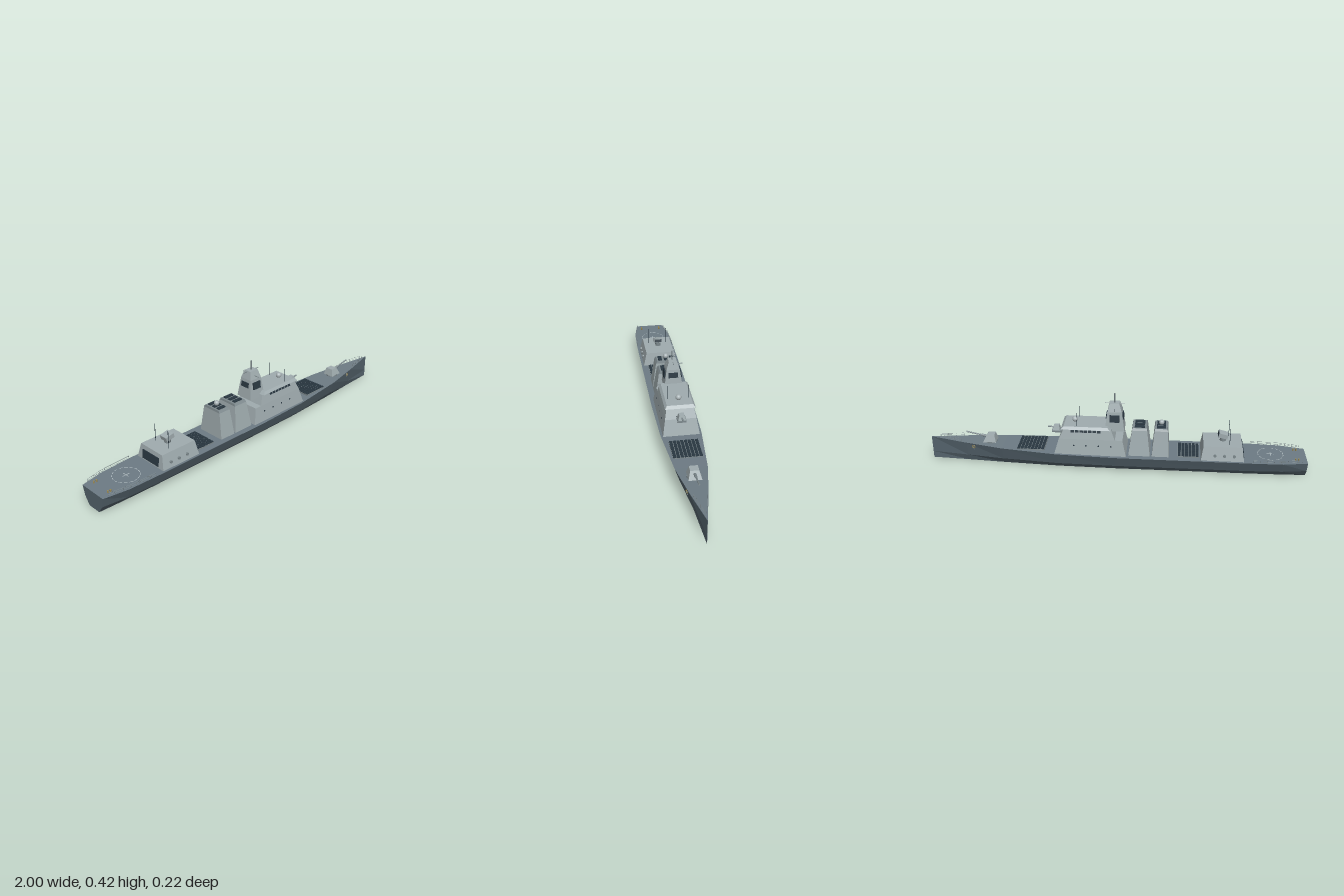
import * as THREE from 'three';

const paint = (color) => new THREE.MeshStandardMaterial({ color, flatShading: true });
const HULL = paint(0x55646d), DECK = paint(0x6d7b84), HOUSE = paint(0x9fabae);
const TRIM = paint(0x7d898d), DARK = paint(0x2a3842), LINE = paint(0xb8c4c8), BRASS = paint(0x9a8a55);
HULL.side = DECK.side = THREE.DoubleSide;

function add(parent, name, geometry, material, x = 0, y = 0, z = 0) {
  const mesh = new THREE.Mesh(geometry, material);
  mesh.name = name;
  mesh.position.set(x, y, z);
  parent.add(mesh);
  return mesh;
}

const box = (parent, name, mat, x, y, z, w, h, d) =>
  add(parent, name, new THREE.BoxGeometry(w, h, d), mat, x, y, z);

// Block with sloping sides: bottom and top are each [xMin, xMax, halfWidth]
function block(parent, name, mat, y0, bottom, y1, top) {
  const g = new THREE.BoxGeometry(1, 1, 1), p = g.attributes.position;
  for (let i = 0; i < p.count; i++) {
    const up = p.getY(i) > 0, e = up ? top : bottom;
    p.setXYZ(i, p.getX(i) > 0 ? e[1] : e[0], up ? y1 : y0, p.getZ(i) > 0 ? e[2] : -e[2]);
  }
  g.computeVertexNormals();
  return add(parent, name, g, mat);
}

// Round bar between two points
function rod(parent, name, mat, a, b, r, sides = 6) {
  const A = new THREE.Vector3(...a), B = new THREE.Vector3(...b), d = B.clone().sub(A);
  const m = add(parent, name, new THREE.CylinderGeometry(r, r, d.length(), sides), mat);
  m.position.copy(A).add(B).multiplyScalar(0.5);
  m.quaternion.setFromUnitVectors(new THREE.Vector3(0, 1, 0), d.normalize());
  return m;
}

function ball(parent, name, x, y, z, r) {
  const m = new THREE.MeshStandardMaterial({ color: 0xaab4b7 });
  return add(parent, name, new THREE.SphereGeometry(r, 16, 12), m, x, y, z);
}

// Hull stations: x, deck half width, deck height, chine half width, chine height, keel half width
const STATIONS = [
  [-1, 0.08, 0.092, 0.066, 0.04, 0.038], [-0.87, 0.104, 0.094, 0.08, 0.038, 0.043],
  [-0.7, 0.11, 0.096, 0.085, 0.037, 0.046], [0, 0.111, 0.098, 0.086, 0.037, 0.047],
  [0.3, 0.104, 0.102, 0.08, 0.037, 0.042], [0.6, 0.078, 0.111, 0.053, 0.037, 0.026],
  [0.8, 0.043, 0.119, 0.026, 0.037, 0.012], [1, 0.0005, 0.127, 0.0005, 0.037, 0.0005],
];
function station(x) {
  let i = 0;
  while (i < STATIONS.length - 2 && STATIONS[i + 1][0] < x) i++;
  const a = STATIONS[i], b = STATIONS[i + 1], t = (x - a[0]) / (b[0] - a[0]);
  return a.map((v, k) => v + (b[k] - v) * t);
}
const deckY = (x) => station(x)[2];

function buildHull(ship) {
  const shell = [], deck = [];
  const quad = (out, a, b, c, d) => out.push(...a, ...b, ...c, ...a, ...c, ...d);
  const ring = ([x, w, y, cw, cy, k]) =>
    [[x, y, w], [x, cy, cw], [x, 0, k], [x, 0, -k], [x, cy, -cw], [x, y, -w]];
  const rings = STATIONS.map(ring);
  for (let i = 0; i < rings.length - 1; i++) {
    const a = rings[i], b = rings[i + 1];
    for (let j = 0; j < 5; j++) quad(shell, a[j], a[j + 1], b[j + 1], b[j]);
    quad(deck, a[0], b[0], b[5], a[5]);
  }
  // transom and stem
  for (const r of [rings[0], [...rings[rings.length - 1]].reverse()]) {
    quad(shell, r[0], r[5], r[4], r[1]);
    quad(shell, r[1], r[4], r[3], r[2]);
  }
  for (const [name, pts, mat] of [['hull', shell, HULL], ['deck', deck, DECK]]) {
    const g = new THREE.BufferGeometry();
    g.setAttribute('position', new THREE.Float32BufferAttribute(pts, 3));
    g.computeVertexNormals();
    add(ship, name, g, mat);
  }
}

// Field of vertical launch hatches
function launchCells(ship, name, x0, x1, nx, nz) {
  const g = new THREE.Group();
  g.name = name;
  ship.add(g);
  const w = (x1 - x0) / nx, d = 0.146 / nz, xm = (x0 + x1) / 2, y = deckY(xm) + 0.002;
  box(g, 'hatchBed', TRIM, xm, y, 0, x1 - x0, 0.008, 0.146);
  for (let i = 0; i < nx; i++) for (let j = 0; j < nz; j++)
    box(g, 'hatch', DARK, x0 + (i + 0.5) * w, y + 0.005, -0.073 + (j + 0.5) * d, w * 0.82, 0.004, d * 0.82);
}

export function createModel() {
  const ship = new THREE.Group();
  ship.name = 'warship';
  buildHull(ship);

  // Main superstructure and bridge
  block(ship, 'mainHouse', HOUSE, 0.094, [-0.06, 0.32, 0.094], 0.184, [-0.04, 0.293, 0.079]);
  block(ship, 'bridge', HOUSE, 0.184, [0, 0.293, 0.079], 0.237, [0.02, 0.268, 0.068]);
  block(ship, 'bridgeRoof', HOUSE, 0.237, [0.025, 0.282, 0.077], 0.25, [0.04, 0.268, 0.066]);
  ball(ship, 'bridgeRadome', 0.215, 0.264, 0, 0.015);
  for (const s of [1, -1]) {
    for (let i = 0; i < 7; i++) {
      const pane = box(ship, 'bridgeWindow', DARK, 0.083 + i * 0.0232, 0.226, s * 0.0705, 0.018, 0.012, 0.003);
      pane.rotation.x = -s * 0.2;
    }
    for (let i = 0; i < 4; i++)
      rod(ship, 'porthole', DARK, [0.02 + i * 0.065, 0.15, s * 0.083], [0.02 + i * 0.065, 0.15, s * 0.087], 0.004, 10);
    rod(ship, 'bridgeWhip', DARK, [0.2, 0.248, s * 0.055], [0.2, 0.324, s * 0.055], 0.0012);
    rod(ship, 'aftWhip', DARK, [-0.595, 0.168, s * 0.05], [-0.595, 0.262, s * 0.05], 0.0015);
  }

  // Radar mast
  block(ship, 'mastBase', HOUSE, 0.222, [-0.048, 0.055, 0.048], 0.325, [-0.033, 0.042, 0.035]);
  block(ship, 'mastTop', HOUSE, 0.325, [-0.033, 0.042, 0.035], 0.367, [-0.02, 0.032, 0.021]);
  for (const s of [1, -1]) {
    box(ship, 'sideRadarPanel', DARK, 0.004, 0.291, s * 0.042, 0.05, 0.038, 0.008).rotation.x = -s * 0.12;
    box(ship, 'endRadarPanel', DARK, 0.004 + s * 0.043, 0.296, 0, 0.006, 0.027, 0.05).rotation.z = s * 0.13;
    rod(ship, 'yardArm', TRIM, [0.004, 0.341, s * 0.02], [0.004, 0.341, s * 0.055], 0.0025);
    rod(ship, 'foreAftArm', TRIM, [0.004, 0.363, 0], [0.004 + s * 0.052, 0.363, 0], 0.002);
  }
  rod(ship, 'mastPole', TRIM, [0.006, 0.365, 0], [0.006, 0.418, 0], 0.003, 8);

  // Funnels with exhaust slots
  for (const [x0, x1, t0, t1] of [[-0.283, -0.193, -0.272, -0.207], [-0.184, -0.07, -0.165, -0.09]]) {
    block(ship, 'funnel', HOUSE, 0.094, [x0, x1, 0.079], 0.235, [t0 - 0.002, t1 + 0.002, 0.058]);
    block(ship, 'funnelCap', TRIM, 0.235, [t0 - 0.002, t1 + 0.002, 0.058], 0.246, [t0, t1, 0.05]);
    for (const z of [-0.032, 0, 0.032])
      box(ship, 'exhaust', DARK, (t0 + t1) / 2, 0.247, z, (t1 - t0) * 0.7, 0.008, 0.02);
  }
  ball(ship, 'funnelRadome', -0.24, 0.262, 0, 0.014);

  // Aft deckhouse with hangar door and side ports
  block(ship, 'hangar', HOUSE, 0.092, [-0.672, -0.448, 0.099], 0.17, [-0.66, -0.46, 0.08]);
  box(ship, 'hangarDoor', DARK, -0.668, 0.126, 0, 0.006, 0.044, 0.12).rotation.z = -0.15;
  for (const s of [1, -1]) for (let i = 0; i < 3; i++)
    rod(ship, 'sidePort', TRIM, [-0.62 + i * 0.05, 0.124, s * 0.086], [-0.62 + i * 0.05, 0.124, s * 0.098], 0.0075, 12);

  // Launcher on the hangar roof
  rod(ship, 'launcherBase', TRIM, [-0.562, 0.168, 0], [-0.562, 0.192, 0], 0.016, 12);
  box(ship, 'launcherBox', HOUSE, -0.562, 0.202, 0, 0.048, 0.024, 0.046).rotation.z = 0.25;
  box(ship, 'launcherMouth', DARK, -0.538, 0.208, 0, 0.003, 0.017, 0.038).rotation.z = 0.25;

  launchCells(ship, 'foreLaunchCells', 0.375, 0.52, 8, 8);
  launchCells(ship, 'aftLaunchCells', -0.44, -0.328, 6, 8);

  // Main gun
  rod(ship, 'gunRing', TRIM, [0.675, 0.108, 0], [0.675, 0.122, 0], 0.034, 16);
  block(ship, 'gunHouse', HOUSE, 0.119, [0.641, 0.711, 0.032], 0.158, [0.65, 0.69, 0.021]);
  rod(ship, 'gunBarrel', TRIM, [0.69, 0.141, 0], [0.805, 0.165, 0], 0.004, 10);
  rod(ship, 'gunSleeve', TRIM, [0.69, 0.141, 0], [0.725, 0.148, 0], 0.007, 10);

  // Close-in gun ahead of the bridge
  box(ship, 'closeGunPlatform', TRIM, 0.3, 0.195, 0, 0.076, 0.009, 0.044);
  block(ship, 'closeGunBody', HOUSE, 0.199, [0.295, 0.335, 0.02], 0.225, [0.3, 0.328, 0.013]);
  rod(ship, 'closeGunBarrel', TRIM, [0.325, 0.212, 0], [0.36, 0.214, 0], 0.004, 8);

  // Landing circle in dashes, with a cross in the centre
  const padY = 0.0975;
  for (let i = 0; i < 16; i++) {
    const dash = new THREE.RingGeometry(0.0645, 0.0675, 4, 1, i * Math.PI / 8, Math.PI / 11);
    add(ship, 'landingCircle', dash, LINE, -0.815, padY, 0).rotation.x = -Math.PI / 2;
  }
  box(ship, 'landingMark', LINE, -0.815, padY, 0, 0.04, 0.001, 0.003);
  box(ship, 'landingMark', LINE, -0.815, padY, 0, 0.003, 0.001, 0.04);

  // Railings, bollards and anchors on both sides
  for (const s of [1, -1]) {
    const post = (x) => [x, deckY(x), s * (station(x)[1] - 0.005)];
    const up = ([x, y, z], h) => [x, y + h, z];
    for (const [from, to, n] of [[-0.97, -0.72, 7], [0.83, 0.95, 3]]) {
      for (let i = 0; i <= n; i++) {
        const a = post(from + (to - from) * i / n);
        rod(ship, 'railPost', TRIM, a, up(a, 0.018), 0.0009, 5);
        if (i === n) continue;
        const b = post(from + (to - from) * (i + 1) / n);
        for (const h of [0.009, 0.018]) rod(ship, 'rail', TRIM, up(a, h), up(b, h), 0.0008, 5);
      }
    }
    for (const x of [-0.955, -0.94])
      rod(ship, 'bollard', BRASS, [x, 0.092, s * 0.055], [x, 0.104, s * 0.055], 0.004, 8);
    const ring = add(ship, 'anchorRing', new THREE.TorusGeometry(0.008, 0.002, 6, 14), BRASS, 0.76, 0.1, s * 0.048);
    ring.rotation.y = s * 0.2;
    rod(ship, 'anchorShank', TRIM, [0.76, 0.082, s * 0.044], [0.76, 0.1, s * 0.049], 0.002);
  }
  return ship;
}
